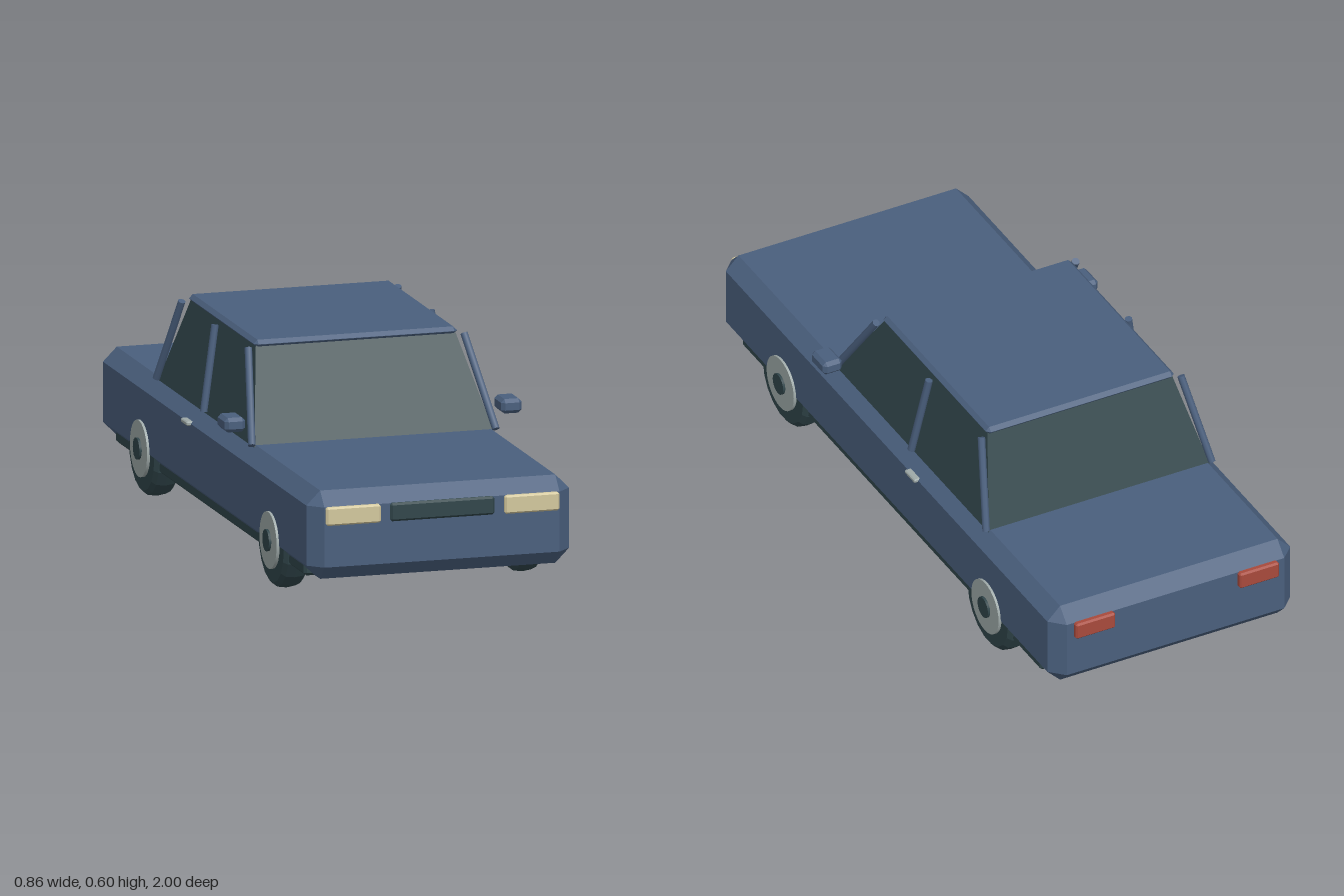
import * as THREE from 'three';
import { ConvexGeometry } from 'three/addons/geometries/ConvexGeometry.js';

const makeMaterial = (name, color) => {
  const m = new THREE.MeshStandardMaterial({ color });
  m.name = name;
  return m;
};

export function createModel() {
  const car = new THREE.Group();
  car.name = 'sedan';
  const paint = makeMaterial('bluePaint', 0x4a5f7d);
  const dark = makeMaterial('darkGlassAndRubber', 0x30454a);
  const metal = makeMaterial('metal', 0x9ea9a8);
  const lamp = makeMaterial('headlightCream', 0xd2c79d);
  const red = makeMaterial('tailLightRed', 0xa84a3c);

  const add = (name, geometry, material, parent = car) => {
    const mesh = new THREE.Mesh(geometry, material);
    mesh.name = name;
    parent.add(mesh);
    return mesh;
  };

  // Box with every edge cut at 45 degrees, given by its limits
  const chamferBox = ([x0, x1], [y0, y1], [z0, z1], c) => {
    const half = [(x1 - x0) / 2, (y1 - y0) / 2, (z1 - z0) / 2];
    const points = [];
    for (const sx of [-1, 1]) for (const sy of [-1, 1]) for (const sz of [-1, 1])
      for (let axis = 0; axis < 3; axis++) {
        const p = half.map((h, i) => (i === axis ? h : h - c));
        points.push(new THREE.Vector3(p[0] * sx, p[1] * sy, p[2] * sz));
      }
    return new ConvexGeometry(points).translate((x0 + x1) / 2, (y0 + y1) / 2, (z0 + z1) / 2);
  };
  const mirrored = (x0, x1, s) => (s > 0 ? [x0, x1] : [-x1, -x0]);

  // Main shell and underbody
  add('body', chamferBox([-0.38, 0.38], [0.095, 0.345], [-0.985, 0.985], 0.04), paint);
  add('underbody', chamferBox([-0.365, 0.365], [0.09, 0.13], [-0.88, 0.88], 0.008), dark);

  // Tapered glasshouse
  const glass = [];
  for (const s of [-1, 1]) {
    glass.push(new THREE.Vector3(s * 0.347, 0.335, 0.357), new THREE.Vector3(s * 0.347, 0.335, -0.54));
    glass.push(new THREE.Vector3(s * 0.288, 0.59, 0.18), new THREE.Vector3(s * 0.288, 0.59, -0.42));
  }
  add('glasshouse', new ConvexGeometry(glass), dark);
  add('roof', chamferBox([-0.294, 0.294], [0.58, 0.603], [-0.432, 0.19], 0.011), paint);

  // Slim round pillar between two points
  const pillar = (name, a, b) => {
    const from = new THREE.Vector3(...a), to = new THREE.Vector3(...b);
    const dir = to.clone().sub(from);
    const mesh = add(name, new THREE.CylinderGeometry(0.011, 0.011, dir.length(), 8), paint);
    mesh.position.copy(from).add(to).multiplyScalar(0.5);
    mesh.quaternion.setFromUnitVectors(new THREE.Vector3(0, 1, 0), dir.normalize());
  };

  // Tyre outline, revolved about the axle
  const tyreProfile = [[0, -0.037], [0.118, -0.037], [0.13, -0.026], [0.134, 0], [0.13, 0.026], [0.118, 0.037], [0, 0.037]]
    .map(([r, y]) => new THREE.Vector2(r, y));
  const tyreGeometry = new THREE.LatheGeometry(tyreProfile, 18).toNonIndexed();
  tyreGeometry.computeVertexNormals();

  for (const s of [1, -1]) {
    const side = s > 0 ? 'left' : 'right';
    pillar(side + 'FrontPillar', [s * 0.353, 0.345, 0.352], [s * 0.312, 0.583, 0.188]);
    pillar(side + 'MiddlePillar', [s * 0.353, 0.345, -0.095], [s * 0.312, 0.583, -0.122]);
    pillar(side + 'RearPillar', [s * 0.353, 0.345, -0.535], [s * 0.312, 0.583, -0.43]);

    add(side + 'Mirror', chamferBox(mirrored(0.37, 0.43, s), [0.385, 0.426], [0.272, 0.354], 0.01), paint);
    add(side + 'DoorHandle', chamferBox(mirrored(0.37, 0.392, s), [0.299, 0.311], [-0.186, -0.128], 0.003), metal);
    add(side + 'Headlight', chamferBox(mirrored(0.179, 0.337, s), [0.254, 0.306], [0.965, 0.997], 0.005), lamp);
    add(side + 'TailLight', chamferBox(mirrored(0.194, 0.318, s), [0.256, 0.306], [-1, -0.968], 0.005), red);

    // Wheels with hub disc and centre cap
    for (const [end, z] of [['Front', 0.612], ['Rear', -0.592]]) {
      const wheel = new THREE.Group();
      wheel.name = side + end + 'Wheel';
      wheel.position.set(s * 0.341, 0.136, z);
      wheel.rotation.z = -s * Math.PI / 2;
      car.add(wheel);
      add('tyre', tyreGeometry, dark, wheel);
      add('hubDisc', new THREE.CylinderGeometry(0.08, 0.08, 0.04, 32).translate(0, 0.026, 0), metal, wheel);
      add('centreCap', new THREE.CylinderGeometry(0.031, 0.031, 0.04, 16).translate(0, 0.033, 0), dark, wheel);
    }
  }

  // Grille between the headlights
  add('grille', chamferBox([-0.151, 0.151], [0.254, 0.306], [0.965, 0.994], 0.006), dark);
  return car;
}
